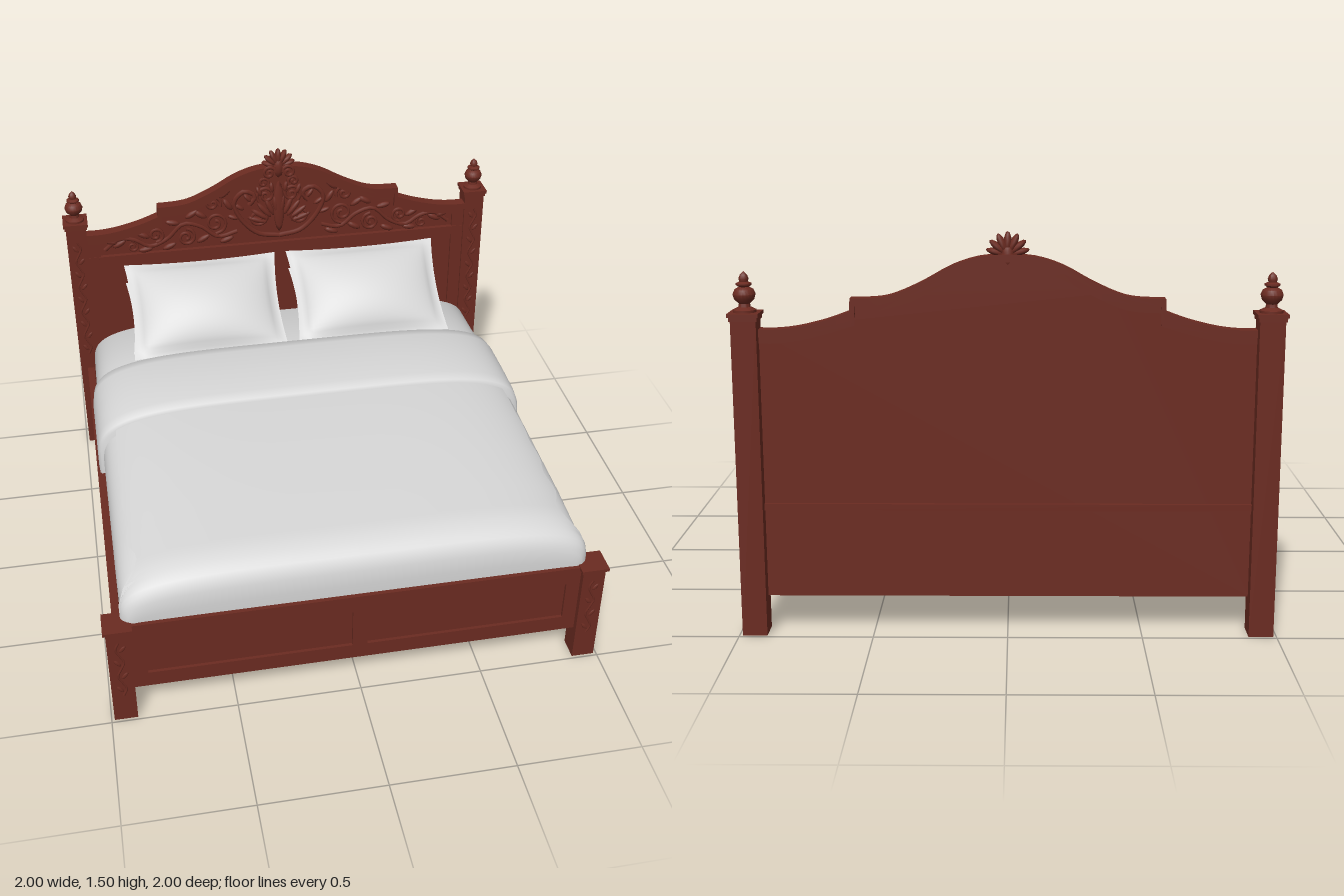
import * as THREE from 'three';
import { toCreasedNormals } from 'three/addons/utils/BufferGeometryUtils.js';

const wood = new THREE.MeshStandardMaterial({ color: 0x6b2b21 });
wood.name = 'mahogany wood';
const linen = new THREE.MeshStandardMaterial({ color: 0xd6d6d6, side: THREE.DoubleSide });
linen.name = 'white linen';

function add(parent, name, geo, mat = wood) {
  const m = new THREE.Mesh(geo, mat);
  m.name = name;
  parent.add(m);
  return m;
}

function group(parent, name) {
  const g = new THREE.Group();
  g.name = name;
  parent.add(g);
  return g;
}

// Box given by its limits on each axis
function box(parent, name, x0, x1, y0, y1, z0, z1) {
  const m = add(parent, name, new THREE.BoxGeometry(x1 - x0, y1 - y0, z1 - z0));
  m.position.set((x0 + x1) / 2, (y0 + y1) / 2, (z0 + z1) / 2);
}

function slab(parent, name, pts, z0, z1) {
  const geo = new THREE.ExtrudeGeometry(new THREE.Shape(pts), { depth: z1 - z0, bevelEnabled: false });
  geo.translate(0, 0, z0);
  add(parent, name, toCreasedNormals(geo, 0.6));
}

// Grid surface: f(u, v) gives a point
function grid(nu, nv, f) {
  const pos = [], idx = [];
  for (let i = 0; i <= nu; i++) for (let j = 0; j <= nv; j++) pos.push(...f(i / nu, j / nv));
  for (let i = 0; i < nu; i++) for (let j = 0; j < nv; j++) {
    const a = i * (nv + 1) + j, b = a + nv + 1;
    idx.push(a, a + 1, b, a + 1, b + 1, b);
  }
  const geo = new THREE.BufferGeometry();
  geo.setAttribute('position', new THREE.Float32BufferAttribute(pos, 3));
  geo.setIndex(idx);
  return toCreasedNormals(geo, 0.9);
}

// Bedding: rounded arches lofted along z; station = [z, half width, top, hem height]
function arch(stations, base = 0.43, n = 4.4) {
  return grid(stations.length - 1, 48, (u, v) => {
    const [z, w, top, hem = base] = stations[Math.round(u * (stations.length - 1))];
    const a0 = hem > base ? Math.asin(((hem - base) / (top - base)) ** (n / 2)) : 0;
    const a = a0 + (Math.PI - 2 * a0) * v, c = Math.cos(a), s = Math.max(0, Math.sin(a));
    return [w * Math.sign(c) * Math.abs(c) ** (2 / n), base + (top - base) * s ** (2 / n), z];
  });
}

// Carving helpers
function vine(parent, pts, r = 0.008) {
  const curve = new THREE.CatmullRomCurve3(pts);
  add(parent, 'carvedVine', new THREE.TubeGeometry(curve, pts.length * 3, r, 6));
}

function scroll(parent, s, cx, cy, z, r, start, turns, thick = 0.008) {
  const pts = [];
  for (let i = 0; i <= 14; i++) {
    const t = i / 14, a = start + turns * Math.PI * 2 * t, q = r * (1 - 0.8 * t);
    pts.push(new THREE.Vector3(s * (cx + q * Math.cos(a)), cy + q * Math.sin(a), z));
  }
  vine(parent, pts, thick);
}

const leafGeo = new THREE.SphereGeometry(1, 10, 6);
function leaf(parent, s, x, y, z, len, angle, fat = 0.35, depth = 0.012) {
  const m = add(parent, 'carvedLeaf', leafGeo);
  m.scale.set(len, len * fat, depth);
  m.rotation.z = s > 0 ? angle : Math.PI - angle;
  m.position.set(s * x, y, z);
}

function postCarving(parent, x, y0, y1, z) {
  const n = Math.round((y1 - y0) / 0.07), pts = [];
  for (let i = 0; i <= n * 2; i++) {
    const y = y0 + (y1 - y0) * i / (n * 2), bend = Math.sin(i * Math.PI / 2);
    pts.push(new THREE.Vector3(x + 0.014 * bend, y, z - 0.002));
    if (i % 2) leaf(parent, 1, x - 0.012 * bend, y, z, 0.02, bend > 0 ? 2.2 : 0.9, 0.4, 0.004);
  }
  vine(parent, pts, 0.005);
}

// Upper outline of the headboard; dy lowers it, k narrows the stepped part
function headOutline(dy, k = 1) {
  const curve = (list) => new THREE.SplineCurve(list.map(([x, y]) => new THREE.Vector2(x, y - dy))).getPoints(18);
  const half = [
    ...curve([[0, 1.42], [0.1, 1.412], [0.2, 1.38], [0.3, 1.325], [0.4, 1.28], [0.47, 1.265], [0.565 * k, 1.262]]),
    ...curve([[0.567 * k, 1.215], [0.65, 1.185], [0.75, 1.16], [0.83, 1.15], [0.9, 1.15]]),
  ];
  return [...half.slice(1).reverse().map((p) => new THREE.Vector2(-p.x, p.y)), ...half];
}

function buildHeadboard(parent) {
  const g = group(parent, 'headboard');
  const V = (x, y) => new THREE.Vector2(x, y);
  slab(g, 'headPanel', [V(-0.9, 0.14), V(0.9, 0.14), ...headOutline(0.01).reverse()], -0.938, -0.92);
  // Stepped crown moulding along the arched top
  [[0, 0.028, -0.95, -0.897], [0.028, 0.052, -0.943, -0.906]].forEach(([a, b, z0, z1]) =>
    slab(g, 'crownMoulding', [...headOutline(b, 0.97), ...headOutline(a).reverse()], z0, z1));
  // Frame around the lower panels
  box(g, 'middleRail', -0.9, 0.9, 0.985, 1.03, -0.935, -0.905);
  box(g, 'railBead', -0.85, 0.85, 1.022, 1.032, -0.93, -0.9);
  box(g, 'centreStile', -0.03, 0.03, 0.4, 0.99, -0.935, -0.908);
  box(g, 'lowerRail', -0.9, 0.9, 0.14, 0.5, -0.935, -0.905);
  box(g, 'backLedge', -0.9, 0.9, 0.475, 0.5, -0.952, -0.935);
  for (const s of [-1, 1]) {
    box(g, 'sideStile', s * 0.87 - 0.03, s * 0.87 + 0.03, 0.14, 1.11, -0.935, -0.907);
  }

  // Scrolling foliage on the upper panel
  const c = group(g, 'foliageCarving'), z = -0.917;
  for (const s of [-1, 1]) {
    const stem = [[0.2, 1.1], [0.29, 1.08], [0.37, 1.14], [0.45, 1.16], [0.53, 1.09], [0.61, 1.06], [0.68, 1.1], [0.75, 1.11], [0.82, 1.06]];
    vine(c, stem.map(([x, y]) => new THREE.Vector3(s * x, y, z)), 0.01);
    scroll(c, s, 0.3, 1.15, z, 0.055, -1.6, -1.5);
    scroll(c, s, 0.44, 1.09, z, 0.045, 1.6, 1.5);
    scroll(c, s, 0.58, 1.115, z, 0.038, -1.6, -1.4);
    scroll(c, s, 0.69, 1.065, z, 0.028, 1.6, 1.3, 0.006);
    scroll(c, s, 0.31, 1.25, z, 0.04, 3.6, -1.4);
    [[0.24, 1.24, 1], [0.37, 1.2, 0.6], [0.41, 1.205, 2.6], [0.36, 1.075, -0.5], [0.5, 1.17, 0.2], [0.52, 1.05, -0.4],
      [0.64, 1.12, 0.5], [0.63, 1.045, 3], [0.75, 1.085, -0.5], [0.79, 1.1, 0.3], [0.25, 1.06, 2.8], [0.25, 1.3, 2.4]]
      .forEach(([x, y, a]) => leaf(c, s, x, y, z, 0.035, a, 0.4));
    // Heart-shaped centre cartouche
    vine(c, [[0, 1.06], [0.1, 1.08], [0.18, 1.16], [0.21, 1.25], [0.16, 1.3], [0.11, 1.27], [0.14, 1.23]]
      .map(([x, y]) => new THREE.Vector3(s * x, y, z)), 0.012);
    scroll(c, s, 0.06, 1.27, z, 0.045, -0.8, 1.5);
    scroll(c, s, 0.1, 1.16, z, 0.045, 2.6, 1.4);
    scroll(c, s, 0.07, 1.335, z, 0.025, 3.4, -1.2);
    for (let i = 0; i < 5; i++) {
      const a = 0.35 + i * 0.27;
      leaf(c, s, 0.11 * Math.cos(a), 1.11 + 0.11 * Math.sin(a), z, 0.05, a, 0.26);
      leaf(c, s, 0.23 * Math.cos(a), 1.1 + 0.21 * Math.sin(a), z, 0.028, a, 0.4);
    }
  }
  leaf(c, 1, 0, 1.21, z, 0.13, Math.PI / 2, 0.2);

  // Shell crest over the arch
  const crest = group(g, 'shellCrest');
  for (let i = 0; i < 9; i++) {
    const a = Math.PI * (-0.05 + 1.1 * i / 8);
    leaf(crest, 1, 0.045 * Math.cos(a), 1.415 + 0.043 * Math.sin(a), -0.92, 0.033 + 0.01 * Math.sin(a), a, 0.34, 0.022);
  }
  for (const s of [-1, 1]) scroll(crest, s, 0.045, 1.39, -0.9, 0.03, 2.5, -1.3);
  leaf(crest, 1, 0, 1.41, -0.92, 0.055, Math.PI / 2, 0.5, 0.028);
}

function buildPosts(parent) {
  const profile = [[0, 0], [0.042, 0], [0.042, 0.012], [0.022, 0.022], [0.02, 0.034], [0.036, 0.05], [0.041, 0.068],
    [0.034, 0.085], [0.018, 0.094], [0.028, 0.101], [0.028, 0.107], [0.015, 0.113], [0.018, 0.124], [0.013, 0.137], [0, 0.15]];
  const finial = toCreasedNormals(new THREE.LatheGeometry(profile.map(([x, y]) => new THREE.Vector2(x, y)), 20), 0.7);
  for (const s of [-1, 1]) {
    const x = s * 0.942;
    const h = group(parent, 'headPost');
    box(h, 'headPostShaft', x - 0.046, x + 0.046, 0, 1.195, -0.987, -0.896);
    box(h, 'headPostCollar', x - 0.051, x + 0.051, 1.185, 1.2, -0.993, -0.89);
    box(h, 'headPostCap', x - 0.056, x + 0.056, 1.2, 1.213, -1, -0.886);
    add(h, 'finial', finial).position.set(x, 1.21, -0.942);
    postCarving(h, x, 0.52, 1.12, -0.896);
    const f = group(parent, 'footPost');
    box(f, 'footPostShaft', x - 0.046, x + 0.046, 0, 0.46, 0.897, 0.988);
    box(f, 'footPostCap', x - 0.056, x + 0.056, 0.46, 0.473, 0.887, 1);
    postCarving(f, x, 0.13, 0.41, 0.988);
  }
}

function buildFrame(parent) {
  // Footboard with two sunken panels
  const f = group(parent, 'footboard');
  box(f, 'footPanel', -0.9, 0.9, 0.14, 0.46, 0.925, 0.95);
  box(f, 'footCap', -0.9, 0.9, 0.455, 0.47, 0.922, 0.97);
  box(f, 'footTopRail', -0.9, 0.9, 0.385, 0.456, 0.945, 0.963);
  box(f, 'footBottomRail', -0.9, 0.9, 0.14, 0.208, 0.945, 0.963);
  box(f, 'footStile', -0.03, 0.03, 0.2, 0.39, 0.945, 0.963);
  for (const s of [-1, 1]) {
    box(f, 'footStile', s * 0.87 - 0.03, s * 0.87 + 0.03, 0.2, 0.39, 0.945, 0.963);
    // Side rails with a shallow sunken panel
    const r = group(parent, 'sideRail'), X = (a, b) => (s > 0 ? [a, b] : [-b, -a]);
    box(r, 'railBoard', ...X(0.925, 0.951), 0.14, 0.43, -0.9, 0.9);
    box(r, 'railTop', ...X(0.925, 0.957), 0.38, 0.436, -0.9, 0.9);
    box(r, 'railBottom', ...X(0.945, 0.957), 0.14, 0.2, -0.9, 0.9);
    box(r, 'railEnd', ...X(0.945, 0.957), 0.195, 0.385, 0.83, 0.9);
    box(r, 'railEnd', ...X(0.945, 0.957), 0.195, 0.385, -0.9, -0.85);
  }
  box(parent, 'deck', -0.93, 0.93, 0.2, 0.22, -0.925, 0.93);
  box(parent, 'centreBeam', -0.015, 0.015, 0.145, 0.205, -0.92, 0.93);
  const leg = add(parent, 'centreLeg', new THREE.CylinderGeometry(0.007, 0.007, 0.15, 10));
  leg.position.set(0, 0.075, 0.015);
}

function buildBedding(parent) {
  const b = group(parent, 'bedding');
  add(b, 'mattress', arch([[0.925, 0.86, 0.43], [0.925, 0.87, 0.52], [0.91, 0.895, 0.58], [0.87, 0.915, 0.63], [0.8, 0.924, 0.655], [0.6, 0.925, 0.68],
    [0, 0.925, 0.7], [-0.5, 0.925, 0.7], [-0.87, 0.92, 0.675], [-0.9, 0.9, 0.655], [-0.9, 0.9, 0.43]]), linen);
  // Duvet: hangs fully over the foot, with a wavy hem along the sides
  const duvet = [[0.95, 0.87, 0.43], [0.956, 0.88, 0.52], [0.95, 0.9, 0.585], [0.935, 0.918, 0.625], [0.92, 0.926, 0.64, 0.45],
    [0.9, 0.93, 0.655, 0.52], [0.875, 0.932, 0.668, 0.58], [0.85, 0.933, 0.677, 0.61]];
  for (let i = 0; i <= 24; i++) {
    const t = i / 24;
    duvet.push([0.82 - 0.9 * t, 0.934, 0.685 + 0.043 * Math.sin(t * Math.PI / 2), 0.628 + 0.008 * Math.sin(i * 1.1) * (1 - t) + 0.03 * t]);
  }
  add(b, 'duvet', arch(duvet), linen);
  add(b, 'foldedBand', arch([[-0.04, 0.936, 0.43], [-0.04, 0.938, 0.725], [-0.05, 0.945, 0.742], [-0.1, 0.948, 0.752], [-0.25, 0.948, 0.757],
    [-0.42, 0.948, 0.752], [-0.48, 0.944, 0.74], [-0.495, 0.936, 0.72], [-0.495, 0.93, 0.43]]), linen);

  // Pillows: puffed bodies with pinched sides and a flat flange
  const pillow = (name, s, w, h, front, back, x, y, z) => {
    const g = group(b, name);
    for (const depth of [front, -back]) {
      add(g, 'pillowFace', grid(32, 24, (p, q) => {
        const u = p * 2 - 1, v = q * 2 - 1;
        const e = Math.max(0, 1 - (u / 0.93) ** 2) * Math.max(0, 1 - (v / 0.93) ** 2);
        return [w * u * (0.95 + 0.05 * v * v), h * v * (0.95 + 0.05 * u * u), depth * e ** 0.6];
      }), linen);
    }
    g.position.set(s * x, y, z);
    g.rotation.x = -0.92;
  };
  for (const s of [-1, 1]) {
    pillow('frontPillow', s, 0.357, 0.238, 0.09, 0.08, 0.383, 0.833, -0.715);
    pillow('backPillow', s, 0.35, 0.18, 0.07, 0.07, 0.388, 0.775, -0.757);
  }
}

export function createModel() {
  const bed = new THREE.Group();
  bed.name = 'bed';
  buildPosts(bed);
  buildHeadboard(bed);
  buildFrame(bed);
  buildBedding(bed);
  return bed;
}
